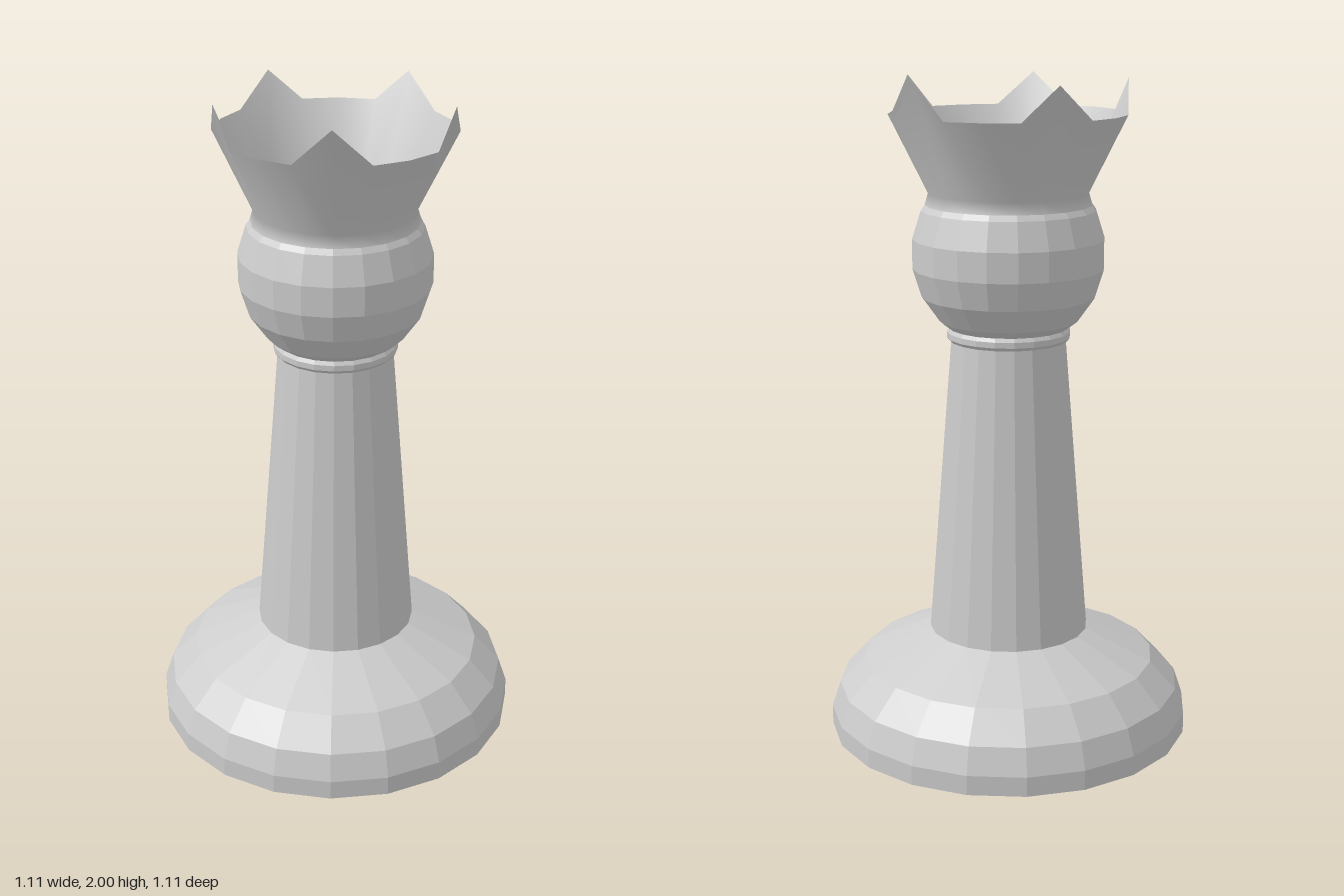
import * as THREE from 'three';

const SIDES = 20;

// Turned part from [radius, height] pairs, bottom to top
function turned(name, profile, material) {
  const points = profile.map(([r, y]) => new THREE.Vector2(r, y));
  const mesh = new THREE.Mesh(new THREE.LatheGeometry(points, SIDES), material);
  mesh.name = name;
  return mesh;
}

export function createModel() {
  const group = new THREE.Group();
  group.name = 'chessQueen';
  const faceted = new THREE.MeshStandardMaterial({ color: 0xcccccc, flatShading: true });
  const thin = new THREE.MeshStandardMaterial({ color: 0xcccccc, side: THREE.DoubleSide });

  // Wide stepped foot, closed underneath
  group.add(turned('base', [
    [0, 0], [0.557, 0], [0.557, 0.06], [0.53, 0.14], [0.45, 0.225], [0.245, 0.318], [0, 0.318],
  ], faceted));

  // Tapering column
  group.add(turned('shaft', [[0.245, 0.318], [0.172, 1.24]], faceted));

  // Thin ring under the head
  group.add(turned('collar', [
    [0.165, 1.225], [0.178, 1.228], [0.186, 1.238], [0.186, 1.255], [0.178, 1.268], [0.15, 1.27],
  ], faceted));

  // Round head with small flat caps at the poles
  const ball = [[0, 1.205]];
  for (let i = 0; i < 10; i++) {
    const a = THREE.MathUtils.degToRad(169 - i * 158 / 9);
    ball.push([0.29 * Math.sin(a), 1.49 + 0.29 * Math.cos(a)]);
  }
  ball.push([0, ball[10][1]]);
  group.add(turned('head', ball, faceted));

  // Flared open crown; every fourth rim corner is raised into a point
  const profile = [[0.25, 1.63], [0.238, 1.67], [0.352, 1.9]];
  const crown = turned('crown', profile, thin);
  const pos = crown.geometry.attributes.position;
  for (let i = 0; i <= SIDES; i += 4) {
    pos.setY(i * profile.length + profile.length - 1, 2);
  }
  group.add(crown);

  return group;
}
